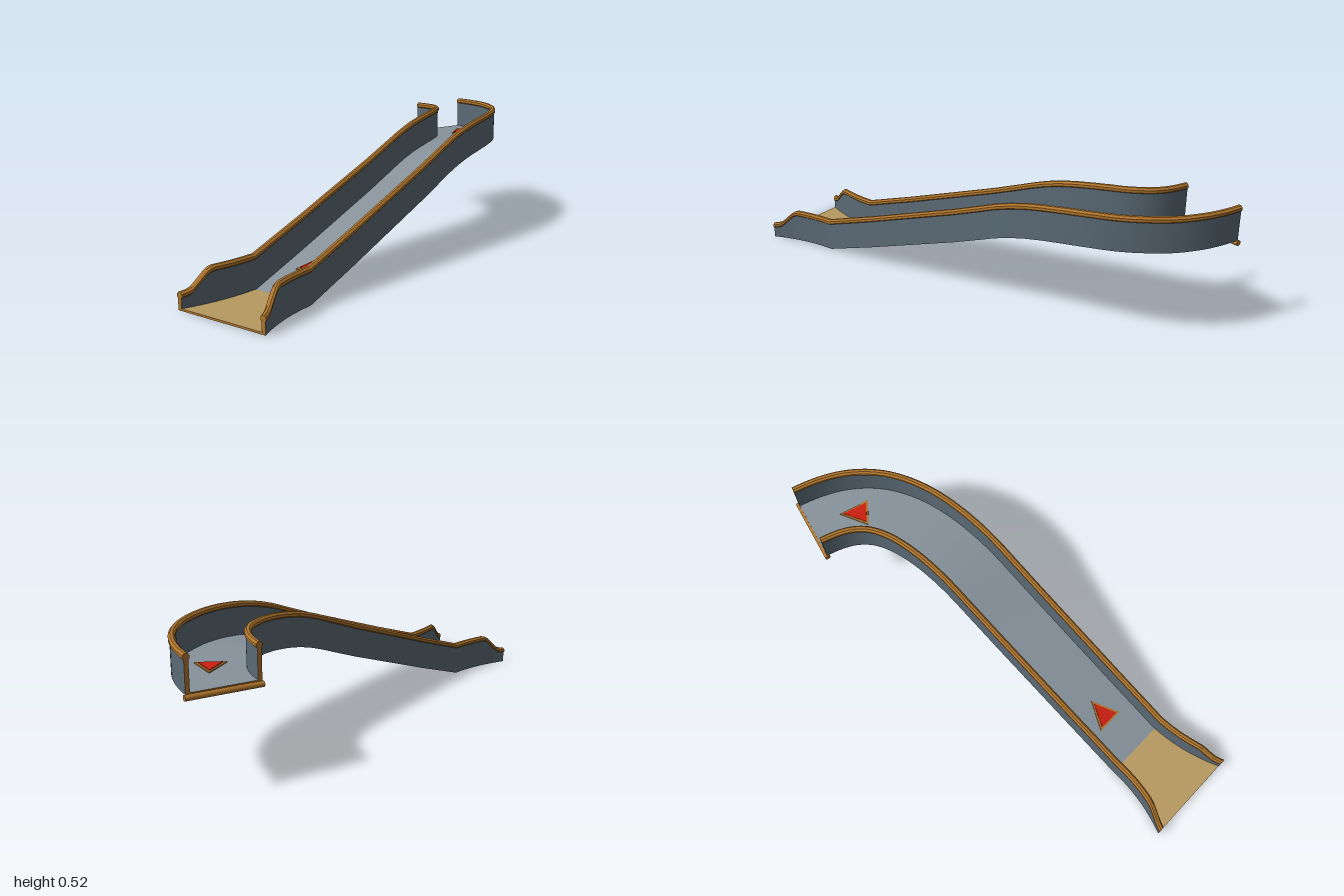
import * as THREE from 'three';

const paint = (name, color) => {
  const m = new THREE.MeshStandardMaterial({ color });
  m.name = name;
  return m;
};

// floor height against centre-line z
const HEIGHTS = [[1, 0], [0.7, 0], [0.45, 0.083], [0, 0.24], [-0.13, 0.289], [-0.2, 0.316], [-0.26, 0.336],
  [-0.33, 0.354], [-0.4, 0.366], [-0.48, 0.375], [-0.56, 0.38], [-0.7, 0.381], [-0.8, 0.377], [-0.9, 0.369]];
// side wall height against z, lowered at the exit
const WALLS = [[1, 0.066], [0.975, 0.071], [0.96, 0.078], [0.91, 0.127], [0.895, 0.137], [0.88, 0.141], [0.7, 0.141], [-1, 0.139]];

function lookup(table, z) {
  for (let i = 1; i < table.length; i++) {
    const [z0, v0] = table[i - 1], [z1, v1] = table[i];
    if (z >= z1) return v0 + (v1 - v0) * (z0 - z) / (z0 - z1);
  }
  return table[table.length - 1][1];
}

// stations from the exit, up the straight, then round the bend
function makeStations() {
  const list = [];
  const add = (x, z, tx, tz) => {
    const flare = Math.max(0, (z - 0.7) / 0.3);
    list.push({ x, z, nx: -tz, nz: tx, half: 0.142 + 0.063 * flare * flare,
      floor: lookup(HEIGHTS, z), wall: lookup(WALLS, z) });
  };
  for (const z of [1, 0.975, 0.96, 0.935, 0.91, 0.895, 0.88, 0.85, 0.8, 0.75, 0.705, 0.7, 0.695, 0.45, 0.2, 0, -0.07, -0.13]) {
    add(0.083, z, 0, -1);
  }
  const bend = new THREE.CubicBezierCurve(
    new THREE.Vector2(0.083, -0.2), new THREE.Vector2(0.083, -0.6),
    new THREE.Vector2(0.02, -0.783), new THREE.Vector2(-0.248, -0.863));
  for (let i = 0; i <= 36; i++) {
    const p = bend.getPoint(i / 36), t = bend.getTangent(i / 36);
    add(p.x, p.y, t.x, t.y);
  }
  return list;
}

// Sweep a closed convex profile along stations; group 0 = sides, group 1 = end caps.
// Each profile edge has its own vertices, so edges stay crisp while the run is smooth.
function sweep(stations, profileAt, side = 1) {
  const rings = stations.map(s => {
    const pts = profileAt(s).map(([o, y]) => [s.x + s.nx * o * side, s.floor + y, s.z + s.nz * o * side]);
    return side < 0 ? pts.reverse() : pts;
  });
  const n = rings[0].length, pos = [], index = [];
  for (let k = 0; k < n; k++) {
    const base = pos.length / 3;
    rings.forEach((r, i) => {
      pos.push(...r[k], ...r[(k + 1) % n]);
      if (i) {
        const a = base + 2 * (i - 1), b = a + 1, d = a + 2, c = a + 3;
        index.push(a, d, c, a, c, b);
      }
    });
  }
  const sideCount = index.length;
  [rings[0], rings[rings.length - 1]].forEach((r, end) => {
    const base = pos.length / 3;
    r.forEach(p => pos.push(...p));
    for (let k = 1; k < n - 1; k++) {
      index.push(base, base + (end ? k + 1 : k), base + (end ? k : k + 1));
    }
  });
  const g = new THREE.BufferGeometry();
  g.setAttribute('position', new THREE.Float32BufferAttribute(pos, 3));
  g.setIndex(index);
  g.addGroup(0, sideCount, 0);
  g.addGroup(sideCount, index.length - sideCount, 1);
  g.computeVertexNormals();
  return g;
}

export function createModel() {
  const group = new THREE.Group();
  const wallGrey = paint('slate wall', 0x5b6b77);
  const floorGrey = paint('grey floor', 0x87929b);
  const trim = paint('orange brown trim', 0xb0752c);
  const sand = paint('sand', 0xb89a62);
  const red = paint('red', 0xcc1f10);

  const add = (name, geometry, material, parent = group) => {
    const mesh = new THREE.Mesh(geometry, material);
    mesh.name = name;
    parent.add(mesh);
    return mesh;
  };
  const box = (o0, o1, y0, y1) => [[o0, y0], [o1, y0], [o1, y1], [o0, y1]];
  const stations = makeStations();

  // chute floor, and the sand coloured run-out on top of it
  add('floor', sweep(stations, s => box(-s.half + 0.016, s.half - 0.016, 0, 0.006)), [floorGrey, trim]);
  add('runOut', sweep(stations.filter(s => s.z >= 0.7),
    s => box(-s.half + 0.017, s.half - 0.017, 0.005, 0.008)), [sand, trim]);

  // side walls with rounded hand rails on top
  for (const [label, side] of [['left', 1], ['right', -1]]) {
    add(label + 'Wall', sweep(stations, s => box(s.half - 0.02, s.half - 0.004, 0, s.wall - 0.01), side), [wallGrey, trim]);
    add(label + 'Rail', sweep(stations, s => {
      const pts = [];
      for (let k = 0; k < 8; k++) {
        const a = (k + 0.5) * Math.PI / 4;
        pts.push([s.half - 0.012 + 0.0135 * Math.cos(a), s.wall - 0.0115 + 0.0135 * Math.sin(a)]);
      }
      return pts;
    }, side), [trim, trim]);
  }

  // round bar under the upper entrance
  const end = stations[stations.length - 1];
  const bar = add('entranceBar', new THREE.CylinderGeometry(0.011, 0.011, 0.286, 16), trim);
  bar.position.set(end.x, 0.362, end.z);
  bar.quaternion.setFromUnitVectors(new THREE.Vector3(0, 1, 0), new THREE.Vector3(end.nx, 0, end.nz).normalize());

  // triangular arrow plates with a border
  const triangle = (width, length, depth) => {
    const shape = new THREE.Shape([
      new THREE.Vector2(-width / 2, -length / 3),
      new THREE.Vector2(width / 2, -length / 3),
      new THREE.Vector2(0, length * 2 / 3)]);
    return new THREE.ExtrudeGeometry(shape, { depth, bevelEnabled: false }).rotateX(-Math.PI / 2);
  };
  const arrow = (name, x, y, z, yaw, pitch) => {
    const g = new THREE.Group();
    g.name = name;
    g.position.set(x, y, z);
    g.rotation.set(pitch, yaw, 0, 'YXZ');
    add('arrowBorder', triangle(0.115, 0.118, 0.004), trim, g);
    add('arrowFace', triangle(0.088, 0.094, 0.007), red, g);
    group.add(g);
  };
  arrow('lowerArrow', 0.083, lookup(HEIGHTS, 0.51) + 0.006, 0.51, 0, 0.325);
  arrow('upperArrow', -0.066, 0.386, -0.773, 0.84, 0);

  return group;
}
